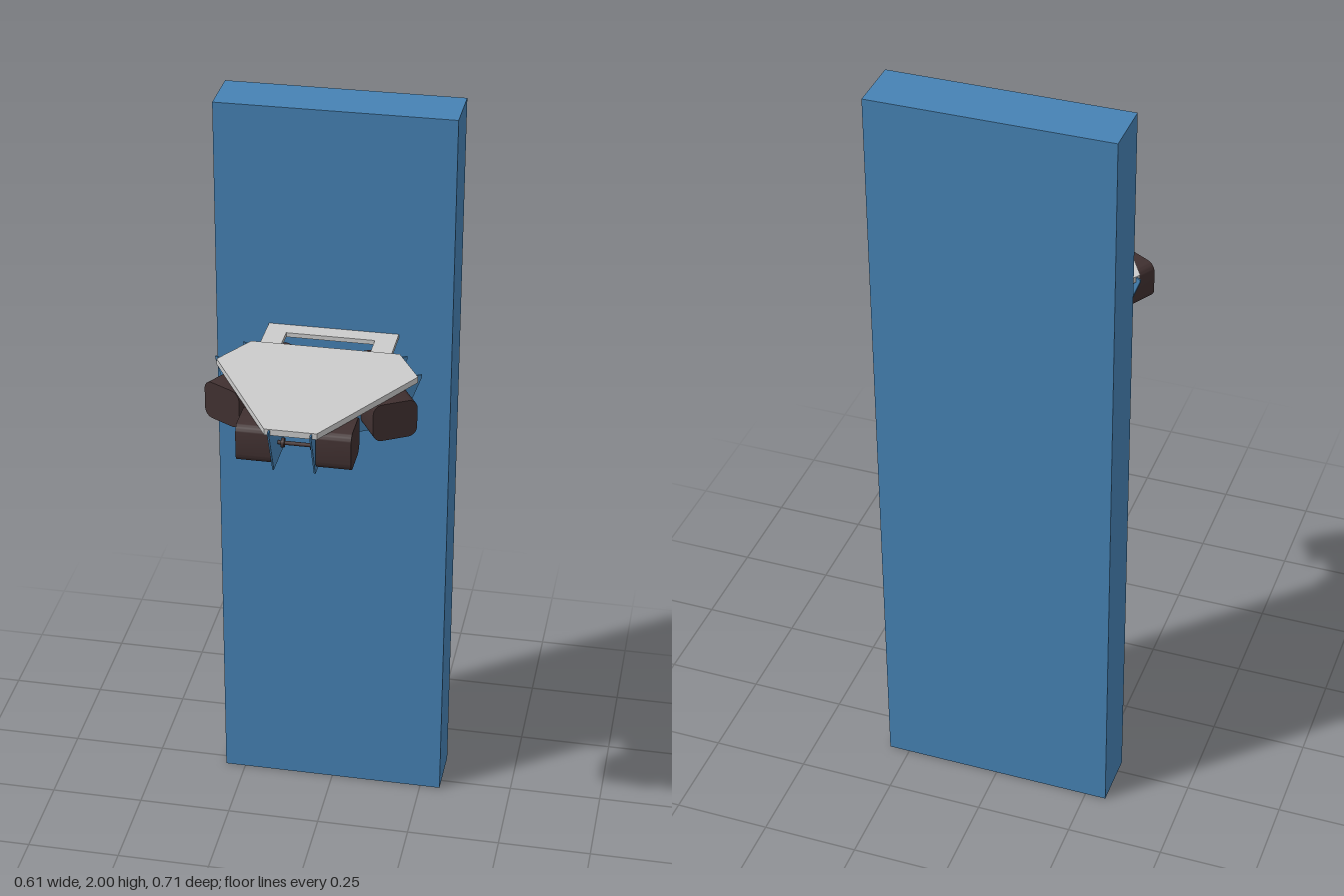
import * as THREE from 'three';
import { toCreasedNormals } from 'three/addons/utils/BufferGeometryUtils.js';

const grey = new THREE.MeshStandardMaterial({ color: 0xcccccc });
const blue = new THREE.MeshStandardMaterial({ color: 0x4682b4 });
const dark = new THREE.MeshStandardMaterial({ color: 0x403030 });

const CENTRE_Z = 0.084; // centre of the three-sided platform
const UNDERSIDE = 1.397;

function add(parent, name, geometry, material) {
  const mesh = new THREE.Mesh(geometry, material);
  mesh.name = name;
  parent.add(mesh);
  return mesh;
}

const polygon = (points) => new THREE.Shape(points.map(([x, y]) => new THREE.Vector2(x, y)));

// Extrudes a (z, y) profile along x, from x0 to x1
function sideExtrude(shape, x0, x1) {
  const g = new THREE.ExtrudeGeometry(shape, { depth: x1 - x0, bevelEnabled: false, curveSegments: 5 });
  return toCreasedNormals(g.rotateY(-Math.PI / 2).translate(x1, 0, 0), 0.6);
}

// Extrudes an (x, z) outline upwards from y0
function flatPlate(shape, y0, thickness) {
  const g = new THREE.ExtrudeGeometry(shape, { depth: thickness, bevelEnabled: false });
  return g.rotateX(Math.PI / 2).translate(0, y0 + thickness, 0);
}

function roundedRect(x0, y0, x1, y1, r) {
  const s = new THREE.Shape();
  s.absarc(x1 - r, y0 + r, r, -Math.PI / 2, 0);
  s.absarc(x1 - r, y1 - r, r, 0, Math.PI / 2);
  s.absarc(x0 + r, y1 - r, r, Math.PI / 2, Math.PI);
  s.absarc(x0 + r, y0 + r, r, Math.PI, Math.PI * 1.5);
  s.closePath();
  return s;
}

// One drive unit: two brackets, two wide rollers and an axle, facing +z
function driveUnit() {
  const unit = new THREE.Group();
  const bracket = polygon([[0.086, 1.28], [0.216, 1.28], [0.271, 1.405], [0.271, 1.411], [0.257, 1.411],
    [0.257, UNDERSIDE], [0.086, UNDERSIDE]]);
  const roller = roundedRect(0.111, 1.296, 0.226, 1.396, 0.024);
  for (const side of [-1, 1]) {
    const span = (a, b) => (side > 0 ? [a, b] : [-b, -a]);
    add(unit, 'bracket', sideExtrude(bracket, ...span(0.049, 0.053)), blue);
    add(unit, 'roller', sideExtrude(roller, ...span(0.055, 0.141)), dark);
    const collar = add(unit, 'axleCollar', new THREE.CylinderGeometry(0.012, 0.012, 0.008, 16), dark);
    collar.rotation.z = Math.PI / 2;
    collar.position.set(side * 0.036, 1.33, 0.168);
  }
  const axle = add(unit, 'axle', new THREE.CylinderGeometry(0.005, 0.005, 0.11, 12), dark);
  axle.rotation.z = Math.PI / 2;
  axle.position.set(0, 1.33, 0.168);
  return unit;
}

export function createModel() {
  const model = new THREE.Group();
  model.name = 'wallPanelWithCarrier';

  // Tall upright panel at the back
  add(model, 'panel', new THREE.BoxGeometry(0.61, 2, 0.145).translate(0, 1, -0.2875), blue);

  // Platform: triangle with cut corners, one per drive unit
  const angles = [0, 1, 2].map((i) => (i * Math.PI * 2) / 3);
  const outline = angles.flatMap((a) => [-0.064, 0.064].map((t) => [
    0.256 * Math.sin(a) + t * Math.cos(a),
    CENTRE_Z + 0.256 * Math.cos(a) - t * Math.sin(a),
  ]));
  add(model, 'platform', flatPlate(polygon(outline), UNDERSIDE, 0.016), grey);

  // Mounting frame joining the platform to the panel, with a window
  const frame = polygon([[-0.168, -0.216], [0.168, -0.216], [0.168, -0.09], [-0.168, -0.09]]);
  frame.holes.push(polygon([[-0.114, -0.17], [-0.114, -0.098], [0.114, -0.098], [0.114, -0.17]]));
  add(model, 'mountingFrame', flatPlate(frame, UNDERSIDE - 0.001, 0.012), grey);

  // Three drive units spaced evenly around the platform
  const names = ['frontDriveUnit', 'leftDriveUnit', 'rightDriveUnit'];
  angles.forEach((a, i) => {
    const unit = driveUnit();
    unit.name = names[i];
    unit.position.z = CENTRE_Z;
    unit.rotation.y = a;
    model.add(unit);
  });

  return model;
}
